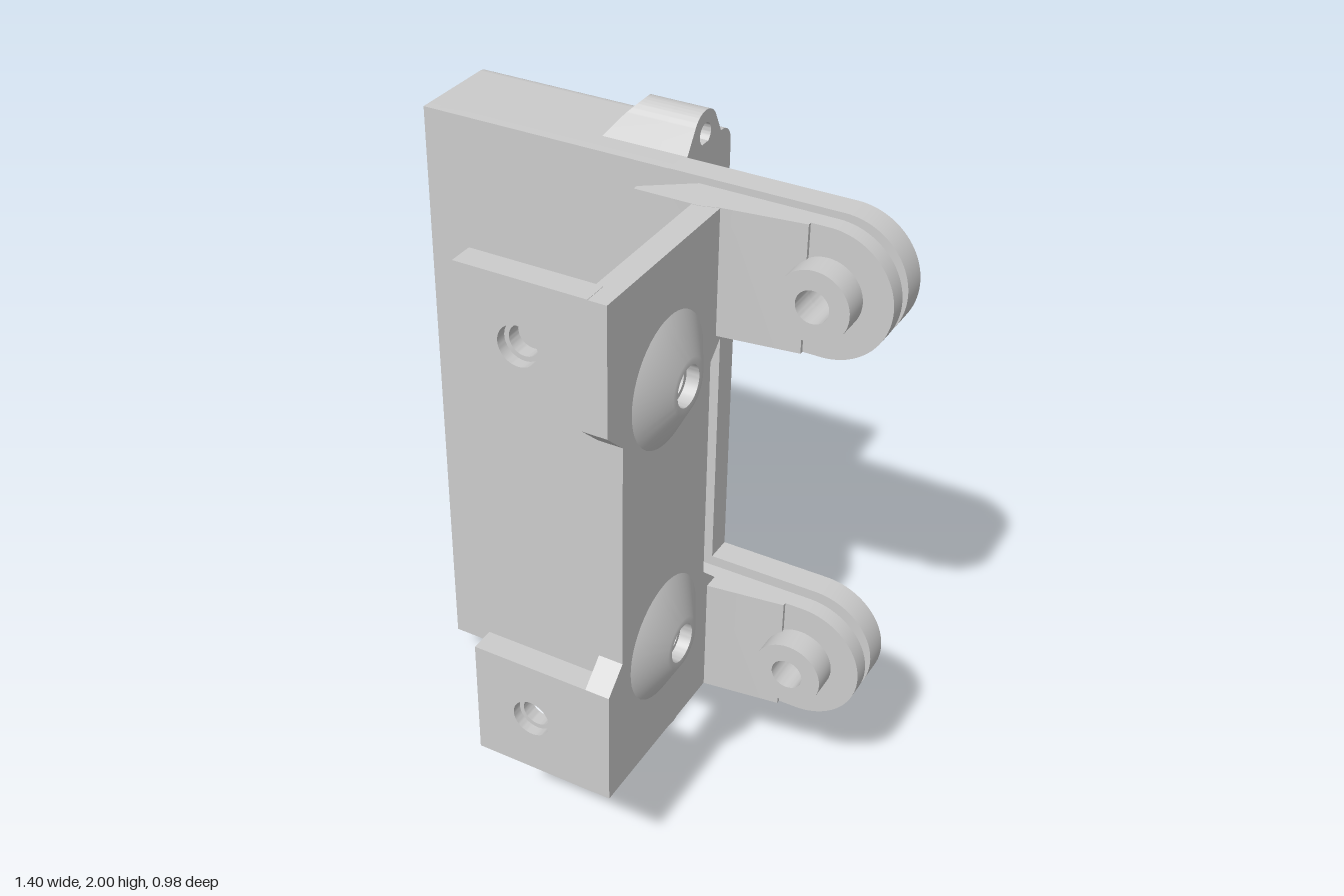
import * as THREE from 'three';
import { toCreasedNormals } from 'three/addons/utils/BufferGeometryUtils.js';

const material = new THREE.MeshStandardMaterial({ color: 0xcccccc });
const EAR_Y = [0.577, 1.733]; // centre heights of the two ears
const EAR_R = 0.178, EAR_X = 0.52;

const polygon = (pts) => new THREE.Shape(pts.map(([a, b]) => new THREE.Vector2(a, b)));

function addHole(shape, x, y, r) {
  const hole = new THREE.Path();
  hole.absarc(x, y, r, 0, Math.PI * 2, true);
  shape.holes.push(hole);
  return shape;
}

const extrude = (shape, depth) =>
  new THREE.ExtrudeGeometry(shape, { depth, bevelEnabled: false, curveSegments: 24 });
// Shape in (x, y), running along z
const alongZ = (shape, z0, z1) => extrude(shape, z1 - z0).translate(0, 0, z0);
// Shape in (-z, y), running along x
const alongX = (shape, x0, x1) => extrude(shape, x1 - x0).rotateY(Math.PI / 2).translate(x0, 0, 0);
// Shape in (x, -z), running along y
const alongY = (shape, y0, y1) => extrude(shape, y1 - y0).rotateX(-Math.PI / 2).translate(0, y0, 0);

function add(group, name, geometry) {
  const mesh = new THREE.Mesh(toCreasedNormals(geometry, 0.5), material);
  mesh.name = name;
  group.add(mesh);
}

// Side outline of the case, optionally with the cable notch in its front edge
function caseOutline(notched) {
  const s = new THREE.Shape();
  s.moveTo(0.17, 0.11);
  s.lineTo(0.34, 0.11);
  s.absarc(0.34, 0.26, 0.15, -Math.PI / 2, 0);
  s.lineTo(0.49, 1.86);
  s.absarc(0.44, 1.86, 0.05, 0, Math.PI / 2);
  s.lineTo(0.17, 1.91);
  if (notched) {
    s.lineTo(0.17, 0.345);
    s.lineTo(0.26, 0.345);
    s.absarc(0.26, 0.27, 0.075, Math.PI / 2, -Math.PI / 2, true);
    s.lineTo(0.17, 0.195);
  }
  return s;
}

function buildCase() {
  const g = new THREE.Group();
  g.name = 'case';

  // Front, top and bottom walls with the rounded rear corners
  const c = new THREE.Shape();
  c.moveTo(0.17, 0.11);
  c.lineTo(0.34, 0.11);
  c.absarc(0.34, 0.26, 0.15, -Math.PI / 2, 0);
  c.lineTo(0.45, 0.26);
  c.absarc(0.34, 0.26, 0.11, 0, -Math.PI / 2, true);
  c.lineTo(0.21, 0.15);
  c.lineTo(0.21, 1.87);
  c.lineTo(0.44, 1.87);
  c.lineTo(0.45, 1.86);
  c.lineTo(0.49, 1.86);
  c.absarc(0.44, 1.86, 0.05, 0, Math.PI / 2);
  c.lineTo(0.17, 1.91);
  add(g, 'caseShell', alongX(c, -0.66, 0.01));

  // Rear wall with six small screw holes
  const back = polygon([[-0.66, 0.26], [0.01, 0.26], [0.01, 1.86], [-0.66, 1.86]]);
  for (const x of [-0.61, -0.23]) for (const y of [0.79, 1.15, 1.51]) addHole(back, x, y, 0.02);
  add(g, 'rearWall', alongZ(back, -0.49, -0.45));

  // Vented end wall: four slots and a round cable opening
  const vent = addHole(caseOutline(false), 0.33, 0.27, 0.1);
  for (let i = 0; i < 4; i++) {
    const y = 0.59 + i * 0.36, slot = new THREE.Path();
    slot.absarc(0.405, y + 0.055, 0.033, 0, Math.PI);
    slot.absarc(0.405, y - 0.055, 0.033, Math.PI, Math.PI * 2);
    slot.closePath();
    vent.holes.push(slot);
  }
  add(g, 'ventedEndWall', alongX(vent, -0.7, -0.66));
  add(g, 'notchedEndWall', alongX(caseOutline(true), 0.01, 0.05));

  // Screw lugs: a drilled end slice and a solid tail with a 45 degree ramp
  const topLug = () => {
    const s = new THREE.Shape();
    s.moveTo(0.24, 1.895);
    s.lineTo(0.44, 1.895);
    s.lineTo(0.401, 1.968);
    s.absarc(0.345, 1.935, 0.065, 0.52, Math.PI - 0.52);
    s.closePath();
    return s;
  };
  const bottomLug = () => {
    const s = new THREE.Shape();
    s.moveTo(0.17, 0.125);
    s.lineTo(0.17, 0.07);
    s.absarc(0.24, 0.07, 0.07, Math.PI, Math.PI * 2 - 0.3);
    s.quadraticCurveTo(0.32, 0.1, 0.35, 0.125);
    s.closePath();
    return s;
  };
  const lugs = [['topLug', topLug, 0.345, 1.935, 1.91, 1], ['bottomLug', bottomLug, 0.24, 0.07, 0.11, -1]];
  for (const [name, make, u, y, edge, dir] of lugs) {
    add(g, name, alongX(addHole(make(), u, y, 0.03), -0.03, 0.05));
    const tail = alongX(make(), -0.21, -0.03);
    const p = tail.attributes.position;
    for (let i = 0; i < p.count; i++)
      if (p.getX(i) < -0.1) p.setX(i, -0.21 + Math.max(0, dir * (p.getY(i) - edge)));
    tail.computeVertexNormals();
    add(g, name + 'Ramp', tail);
  }

  // Hinge plate: a strip joining two rounded ears
  const [lo, hi] = EAR_Y;
  const s = new THREE.Shape();
  s.moveTo(0.04, lo - EAR_R);
  s.lineTo(EAR_X, lo - EAR_R);
  s.absarc(EAR_X, lo, EAR_R, -Math.PI / 2, Math.PI / 2);
  s.lineTo(0.2, lo + EAR_R);
  s.lineTo(0.2, hi - EAR_R);
  s.lineTo(EAR_X, hi - EAR_R);
  s.absarc(EAR_X, hi, EAR_R, -Math.PI / 2, Math.PI / 2);
  s.lineTo(0.04, hi + EAR_R);
  for (const y of EAR_Y) {
    addHole(s, EAR_X, y, 0.045);
    addHole(s, 0.2, y, 0.04);
  }
  add(g, 'hingePlate', alongZ(s, -0.245, -0.17));
  return g;
}

function buildBracket() {
  const g = new THREE.Group();
  g.name = 'bracket';

  // Web, narrowed between the ears, with two bolt holes
  const web = polygon([
    [-0.49, 0.4], [0.09, 0.4], [0.09, 0.755], [0.02, 0.82], [0.02, 1.49], [0.09, 1.555],
    [0.09, 1.91], [-0.49, 1.91], [-0.49, 1.555], [-0.42, 1.49], [-0.42, 0.82], [-0.49, 0.755],
  ]);
  const boltY = [0.752, 1.558];
  for (const y of boltY) addHole(web, -0.2, y, 0.042);
  add(g, 'web', alongX(web, 0.18, 0.25));

  // Conical bolt seats on the outside of the web
  const cone = [[0.178, 0], [0.075, 0.055], [0.055, 0.055], [0.055, 0.02], [0.042, 0.02], [0.042, 0]];
  for (const y of boltY) {
    const seat = new THREE.LatheGeometry(cone.map(([r, h]) => new THREE.Vector2(r, h)), 48);
    add(g, 'boltSeat', seat.rotateZ(-Math.PI / 2).translate(0.25, y, 0.2));
  }

  EAR_Y.forEach((y, i) => {
    const y0 = y - EAR_R, y1 = y + EAR_R;

    // Front tab with a counterbored hole
    for (const [z0, z1, r] of [[0.42, 0.46, 0.042], [0.46, 0.49, 0.055]]) {
      const tab = polygon([[-0.16, y0], [0.2, y0], [0.2, y1], [-0.16, y1]]);
      add(g, 'frontTab', alongZ(addHole(tab, 0.01, y, r), z0, z1));
    }

    // Rounded ear; the lower one reaches further in
    const left = i === 0 ? 0.08 : 0.145;
    const ear = new THREE.Shape();
    ear.moveTo(left, y0);
    ear.lineTo(EAR_X, y0);
    ear.absarc(EAR_X, y, EAR_R, -Math.PI / 2, Math.PI / 2);
    ear.lineTo(left, y1);
    add(g, 'bracketEar', alongZ(addHole(ear, EAR_X, y, 0.045), -0.135, -0.085));

    // Tapered root stiffening the ear
    const root = polygon([
      [0.02, 0.03], [0.2, 0.03], [0.25, 0.045], [0.47, 0.074], [0.47, 0.09],
      [0.25, 0.09], [0.25, 0.135], [0.145, 0.135], [0.02, 0.045],
    ]);
    add(g, 'earRoot', alongY(root, y0, y1));

    // Pivot boss
    const boss = new THREE.Shape();
    boss.absarc(EAR_X, y, 0.098, 0, Math.PI * 2);
    add(g, 'pivotBoss', alongZ(addHole(boss, EAR_X, y, 0.045), -0.085, -0.01));
  });
  return g;
}

export function createModel() {
  const model = new THREE.Group();
  model.name = 'hingedCaseAndBracket';
  model.add(buildCase(), buildBracket());
  return model;
}
